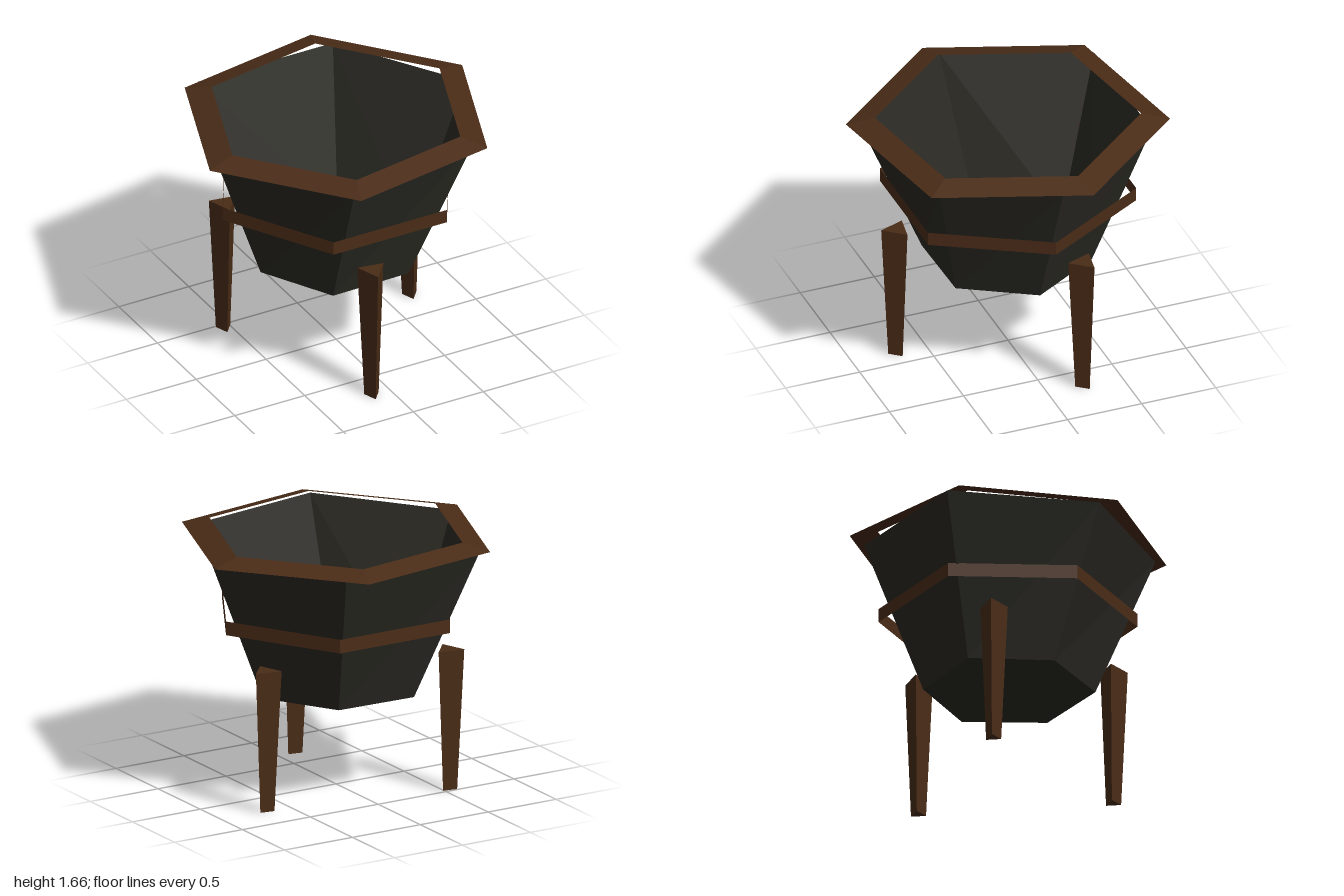
import * as THREE from 'three';

const rad = THREE.MathUtils.degToRad;

const wood = new THREE.MeshStandardMaterial({ color: 0x4a2c17, flatShading: true, side: THREE.DoubleSide });
const iron = new THREE.MeshStandardMaterial({ color: 0x2b2a24, flatShading: true, side: THREE.DoubleSide });

function part(name, geometry, material, y) {
  const mesh = new THREE.Mesh(geometry, material);
  mesh.name = name;
  mesh.position.y = y;
  return mesh;
}

// Open-topped bowl with a regular base and a slightly uneven mouth, as [x, z] corners
function bowlGeometry(y0, y1) {
  const base = [[0.54, 0], [0.265, 0.46], [-0.28, 0.47], [-0.54, 0], [-0.28, -0.475], [0.265, -0.46]];
  const mouth = [[0.925, 0], [0.59, 0.70], [-0.35, 0.87], [-0.91, 0.10], [-0.55, -0.80], [0.42, -0.80]];
  const pos = [];
  const add = ([x, z], y) => pos.push(x, y, z);
  for (let i = 0; i < 6; i++) {
    const j = (i + 1) % 6;
    // wall panel
    add(base[i], y0); add(mouth[i], y1); add(base[j], y0);
    add(base[j], y0); add(mouth[i], y1); add(mouth[j], y1);
    // floor wedge
    add([0, 0], y0); add(base[i], y0); add(base[j], y0);
  }
  const g = new THREE.BufferGeometry();
  g.setAttribute('position', new THREE.Float32BufferAttribute(pos, 3));
  g.computeVertexNormals();
  return g;
}

export function createModel() {
  const model = new THREE.Group();
  model.name = 'standingBowl';

  model.add(part('bowl', bowlGeometry(0.65, 1.62), iron, 0));

  // Sloping six-sided rim, turned ten degrees from the band
  model.add(part('rim', new THREE.CylinderGeometry(0.833, 1.015, 0.045, 6, 1, true, rad(40)), wood, 1.6425));

  // Thin band around the middle
  model.add(part('band', new THREE.CylinderGeometry(0.81, 0.81, 0.09, 6, 1, true, rad(30)), wood, 1.155));

  // Three tapered three-sided legs, one edge pointing outward
  const legGeometry = new THREE.CylinderGeometry(0.1, 0.055, 0.92, 3);
  for (let i = 0; i < 3; i++) {
    const a = rad(-10 + i * 120);
    const leg = part('leg' + (i + 1), legGeometry, wood, 0.46);
    leg.position.x = 0.711 * Math.sin(a);
    leg.position.z = 0.711 * Math.cos(a);
    leg.rotation.y = a;
    model.add(leg);
  }
  return model;
}
